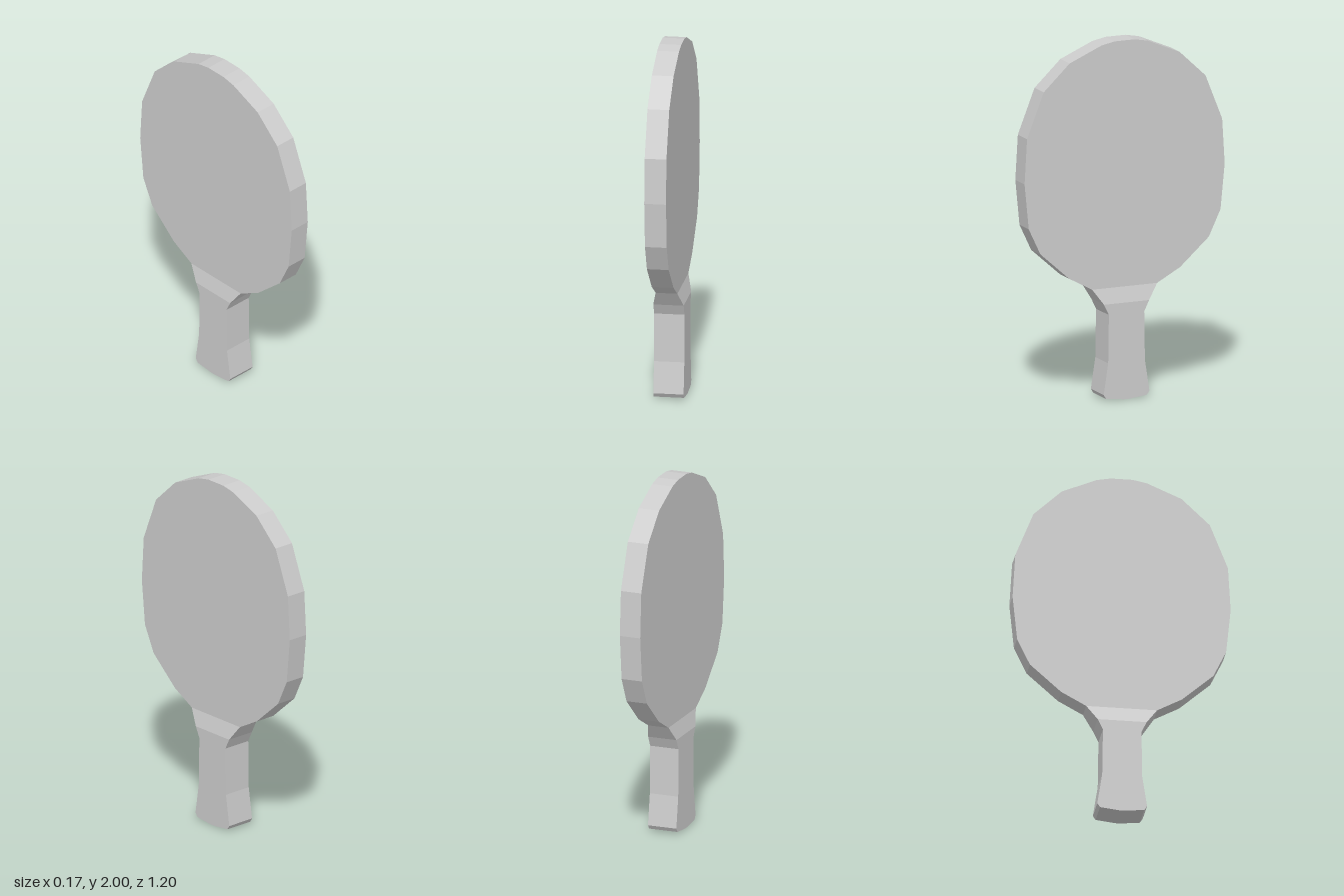
import * as THREE from 'three';

const material = new THREE.MeshStandardMaterial({ color: 0xcccccc, flatShading: true });

// Lofts rectangular sections [y, half width in z, xMin, xMax], listed from bottom to top.
function loft(name, rows, capBottom, capTop) {
  const positions = [];
  const index = [];
  for (const [y, w, x0, x1] of rows) {
    positions.push(x1, y, w, x1, y, -w, x0, y, -w, x0, y, w);
  }
  for (let r = 0; r < rows.length - 1; r++) {
    for (let i = 0; i < 4; i++) {
      const a = r * 4 + i;
      const b = r * 4 + ((i + 1) % 4);
      index.push(a, b, b + 4, a, b + 4, a + 4);
    }
  }
  const t = (rows.length - 1) * 4;
  if (capBottom) index.push(0, 2, 1, 0, 3, 2);
  if (capTop) index.push(t, t + 1, t + 2, t, t + 2, t + 3);

  const indexed = new THREE.BufferGeometry();
  indexed.setAttribute('position', new THREE.Float32BufferAttribute(positions, 3));
  indexed.setIndex(index);
  const geometry = indexed.toNonIndexed();
  geometry.computeVertexNormals();
  const mesh = new THREE.Mesh(geometry, material);
  mesh.name = name;
  return mesh;
}

export function createModel() {
  const group = new THREE.Group();
  group.name = 'paddle';

  const thin = [-0.063, 0.057];
  const thick = [-0.085, 0.082];

  // Grip with a flared butt, widening and thinning at the neck to meet the blade
  const grip = [
    [0, 0.015], [0.012, 0.122], [0.035, 0.137], [0.21, 0.11], [0.48, 0.106], [0.54, 0.135],
  ].map((row) => [...row, ...thick]);
  const neck = [0.625, 0.195, ...thin];
  group.add(loft('handle', [...grip, neck], true, false));

  // Flat faceted oval blade
  const blade = [
    [0.70, 0.333], [0.853, 0.505], [1.0, 0.575], [1.253, 0.6], [1.505, 0.585],
    [1.757, 0.485], [1.903, 0.33], [1.985, 0.138], [2.0, 0.06],
  ].map((row) => [...row, ...thin]);
  group.add(loft('blade', [neck, ...blade], false, true));

  return group;
}
